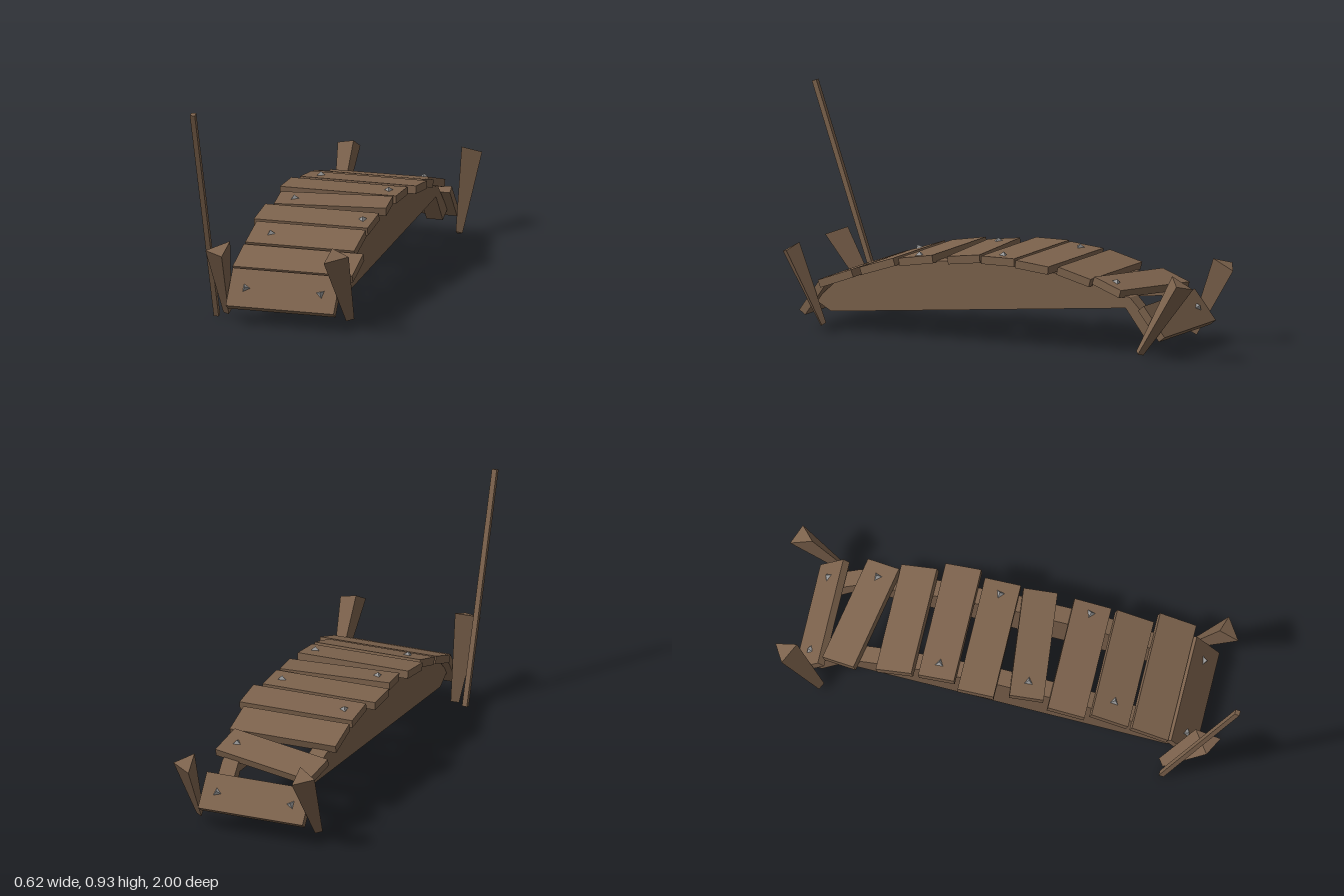
import * as THREE from 'three';

const wood = new THREE.MeshStandardMaterial({ color: 0x7d634d, flatShading: true });
const metal = new THREE.MeshStandardMaterial({ color: 0x999999, flatShading: true });

function addMesh(parent, name, geometry, material = wood) {
  const mesh = new THREE.Mesh(geometry, material);
  mesh.name = name;
  parent.add(mesh);
  return mesh;
}

// Arched side beam, drawn as (z, y) and extruded across x
function beamGeometry(width) {
  const outline = [
    [0.66, 0.08], [0.73, 0.12], [0.62, 0.225], [0.32, 0.315], [-0.05, 0.345], [-0.4, 0.315],
    [-0.7, 0.245], [-0.83, 0.11], [-0.77, 0.08], [-0.68, 0.2],
  ];
  const shape = new THREE.Shape(outline.map(([z, y]) => new THREE.Vector2(-z, y)));
  const geometry = new THREE.ExtrudeGeometry(shape, { depth: width, bevelEnabled: false });
  return geometry.translate(0, 0, -width / 2).rotateY(Math.PI / 2);
}

// Three-sided stake: a small triangle at the foot widens to the given top triangle
function stakeGeometry(foot, corners) {
  const top = corners.map((c) => new THREE.Vector3(...c));
  const centre = new THREE.Vector3().add(top[0]).add(top[1]).add(top[2]).divideScalar(3);
  const base = new THREE.Vector3(...foot);
  const bottom = top.map((p) => p.clone().sub(centre).multiplyScalar(0.33).add(base));
  // Order the corners so the top cap faces along the stake
  const normal = top[1].clone().sub(top[0]).cross(top[2].clone().sub(top[0]));
  if (normal.dot(centre.clone().sub(base)) < 0) {
    top.reverse();
    bottom.reverse();
  }
  const points = [top[0], top[1], top[2], bottom[2], bottom[1], bottom[0]];
  for (let i = 0; i < 3; i++) {
    const j = (i + 1) % 3;
    points.push(bottom[i], bottom[j], top[j], bottom[i], top[j], top[i]);
  }
  const geometry = new THREE.BufferGeometry().setFromPoints(points);
  geometry.computeVertexNormals();
  return geometry;
}

export function createModel() {
  const model = new THREE.Group();
  model.name = 'plankBridge';

  // Side beams
  for (const x of [-0.16, 0.165]) addMesh(model, 'archBeam', beamGeometry(0.07)).position.x = x;

  // Planks: left x, right x, centre y, centre z, depth, tilt, yaw (degrees), nail x positions
  const planks = [
    [-0.225, 0.235, 0.14, 0.727, 0.165, 55, 0, [-0.155, 0.165]],
    [-0.23, 0.28, 0.232, 0.6, 0.16, 20, 0, []],
    [-0.23, 0.235, 0.288, 0.433, 0.16, 18, 0, [-0.145]],
    [-0.25, 0.235, 0.326, 0.258, 0.155, 9, 0, [0.19]],
    [-0.23, 0.235, 0.345, 0.065, 0.14, 6, 6, [-0.16]],
    [-0.26, 0.235, 0.353, -0.115, 0.15, 0, 0, [0.18]],
    [-0.23, 0.265, 0.346, -0.285, 0.15, -6, 0, [-0.165]],
    [-0.23, 0.235, 0.316, -0.46, 0.153, -15, 0, []],
    [-0.225, 0.23, 0.27, -0.65, 0.145, -17, -11.5, [0.17]],
    [-0.225, 0.235, 0.15, -0.815, 0.155, -52, 0, [-0.155, 0.17]],
  ];
  const thickness = 0.033;
  planks.forEach(([left, right, y, z, depth, tilt, yaw, nails], i) => {
    const group = new THREE.Group();
    group.name = 'plank' + (i + 1);
    group.position.set(0, y, z);
    group.rotation.set(THREE.MathUtils.degToRad(tilt), THREE.MathUtils.degToRad(yaw), 0);
    const board = addMesh(group, 'board', new THREE.BoxGeometry(right - left, thickness, depth));
    board.position.x = (left + right) / 2;
    nails.forEach((x) => {
      const nail = addMesh(group, 'nail', new THREE.ConeGeometry(0.021, 0.016, 3), metal);
      nail.position.set(x, thickness / 2 + 0.007, 0);
      nail.rotation.y = x < 0 ? Math.PI / 2 : 0.3;
    });
    model.add(group);
  });

  // Corner stakes: foot point, then the three top corners
  const stakes = [
    ['frontRightStake', [-0.255, 0.022, 0.665], [[-0.29, 0.325, 0.855], [-0.208, 0.315, 0.895], [-0.205, 0.355, 0.79]]],
    ['frontLeftStake', [0.265, 0.035, 0.665], [[0.307, 0.335, 0.81], [0.22, 0.315, 0.87], [0.23, 0.36, 0.79]]],
    ['backRightStake', [-0.25, 0.035, -0.765], [[-0.295, 0.33, -0.915], [-0.213, 0.31, -0.96], [-0.213, 0.355, -0.87]]],
    ['backLeftStake', [0.265, 0.03, -0.775], [[0.225, 0.305, -1], [0.305, 0.325, -0.965], [0.235, 0.355, -0.91]]],
  ];
  for (const [name, foot, corners] of stakes) addMesh(model, name, stakeGeometry(foot, corners));

  // Long leaning pole at one front corner
  const low = new THREE.Vector3(-0.3, 0.007, 0.67);
  const high = new THREE.Vector3(-0.3, 0.93, 0.987);
  const pole = addMesh(model, 'leaningPole', new THREE.BoxGeometry(0.021, low.distanceTo(high), 0.021));
  pole.position.copy(low).add(high).multiplyScalar(0.5);
  pole.rotation.x = Math.atan2(high.z - low.z, high.y - low.y);

  return model;
}
